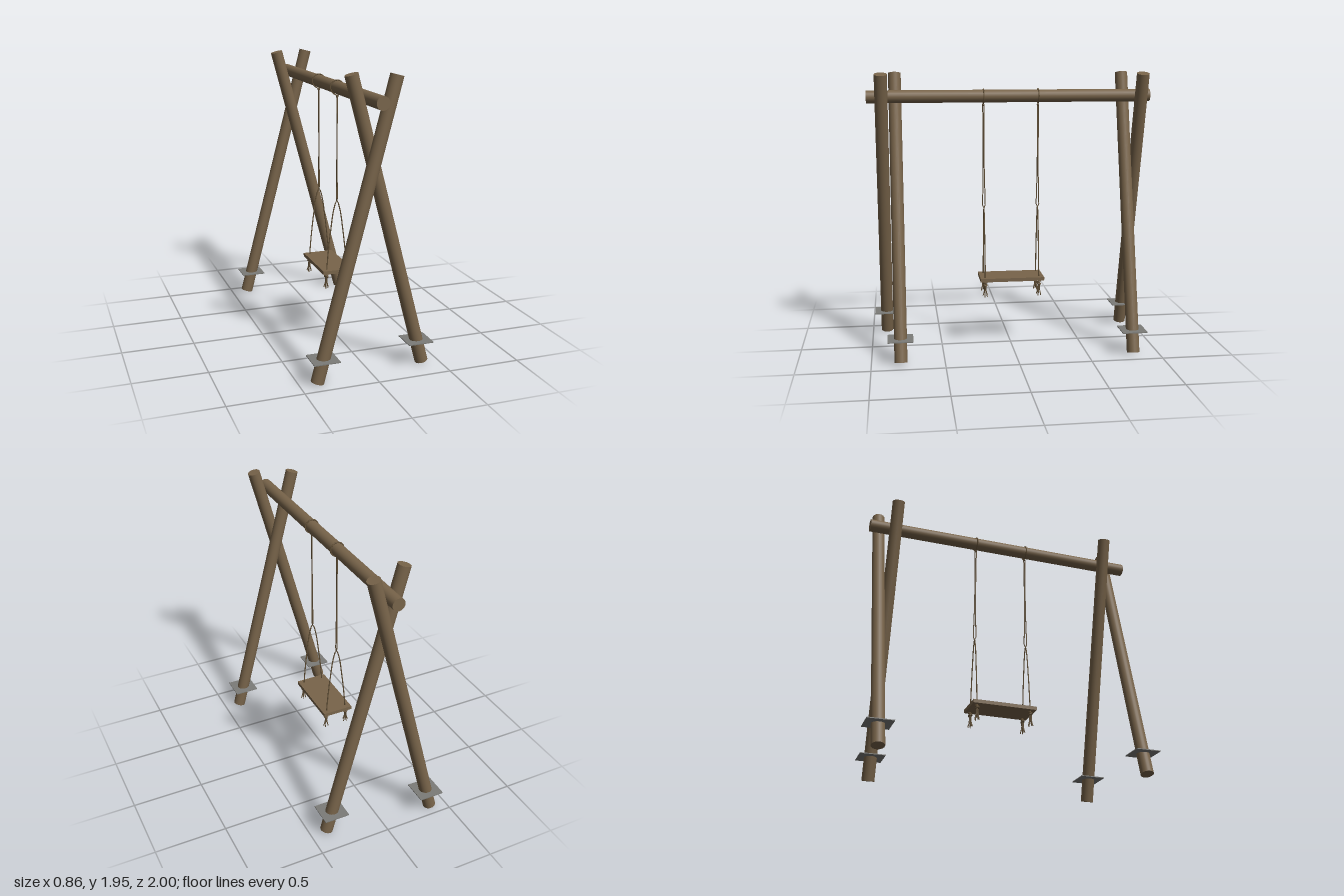
import * as THREE from 'three';

export function createModel() {
  const root = new THREE.Group();
  const wood = new THREE.MeshStandardMaterial({ name: 'wood', color: 0x78644a });
  const rope = new THREE.MeshStandardMaterial({ name: 'rope', color: 0x655339 });
  const metal = new THREE.MeshStandardMaterial({ name: 'metal', color: 0x7c7c78 });

  const add = (parent, name, geometry, material, x = 0, y = 0, z = 0) => {
    const mesh = new THREE.Mesh(geometry, material);
    mesh.name = name;
    mesh.position.set(x, y, z);
    parent.add(mesh);
    return mesh;
  };
  // Rope through a few points
  const cord = (parent, name, points, radius = 0.0045, segments = 20, closed = false) => {
    const curve = new THREE.CatmullRomCurve3(points.map(p => new THREE.Vector3(...p)), closed);
    return add(parent, name, new THREE.TubeGeometry(curve, segments, radius, 6, closed), rope);
  };

  // Crossed legs with anchor plates; side is the direction of the foot in x
  const foot = 0.383, footY = 0.011, headX = 0.13, headY = 1.942;
  const lean = Math.atan2(foot + headX, headY - footY);
  const length = Math.hypot(foot + headX, headY - footY);
  const plateY = 0.166;
  for (const [side, z] of [[-1, 0.894], [1, 0.8], [1, -0.82], [-1, -0.913]]) {
    const leg = add(root, 'leg', new THREE.CylinderGeometry(0.044, 0.044, length, 24), wood,
      side * (foot - headX) / 2, (footY + headY) / 2, z);
    leg.rotation.z = side * lean;
    add(root, 'anchorPlate', new THREE.BoxGeometry(0.175, 0.006, 0.175), metal, side * 0.343, plateY, z);
  }

  // Top beam
  const beamY = 1.786;
  const beam = add(root, 'beam', new THREE.CylinderGeometry(0.044, 0.044, 1.99, 24), wood, 0, beamY, 0.002);
  beam.rotation.x = Math.PI / 2;

  // Swing seat
  add(root, 'seat', new THREE.BoxGeometry(0.22, 0.025, 0.455), wood, 0, 0.491, -0.002);

  for (const z of [0.19, -0.195]) {
    const hanger = new THREE.Group();
    hanger.name = 'ropeHanger';
    hanger.position.z = z;
    root.add(hanger);

    // Loop round the beam, drawn together underneath
    const loop = [[0, 1.733, 0]];
    for (let i = 0; i <= 10; i++) {
      const a = -0.9 + i * (Math.PI + 1.8) / 10;
      loop.push([Math.cos(a) * 0.048, beamY + Math.sin(a) * 0.048, 0]);
    }
    cord(hanger, 'beamLoop', loop, 0.0045, 40, true);
    add(hanger, 'upperKnot', new THREE.SphereGeometry(0.009, 10, 8), rope, 0, 1.725, 0);

    // Doubled rope opening into an eye at the lower end
    for (const s of [-1, 1]) {
      cord(hanger, 'upperRope', [[0, 1.73, s * 0.005], [0, 1.4, s * 0.003], [0, 1.2, s * 0.005],
        [0, 1.04, s * 0.009], [0, 1.005, s * 0.008], [0, 0.995, 0]], 0.0038, 28);
    }

    // Bridle spreading to both edges of the seat
    cord(hanger, 'bridle', [[-0.076, 0.47, 0], [-0.066, 0.6, 0], [-0.046, 0.78, 0], [-0.022, 0.94, 0],
      [0, 1.0, 0], [0.022, 0.94, 0], [0.046, 0.78, 0], [0.066, 0.6, 0], [0.076, 0.47, 0]], 0.0042, 48);

    // Knots and frayed ends below the seat
    for (const s of [-1, 1]) {
      const x = s * 0.078;
      for (const [y, tilt] of [[0.466, 0.3], [0.452, -0.35]]) {
        const knot = add(hanger, 'knot', new THREE.TorusGeometry(0.011, 0.006, 6, 14), rope, x, y, 0);
        knot.rotation.set(Math.PI / 2 + tilt, tilt, 0);
      }
      cord(hanger, 'tail', [[x, 0.48, 0], [x, 0.41, 0]], 0.0065, 4);
      for (let i = 0; i < 5; i++) {
        const a = i * Math.PI * 2 / 5 + s * 0.4;
        const dx = Math.cos(a), dz = Math.sin(a);
        cord(hanger, 'frayedStrand', [[x + dx * 0.007, 0.445, dz * 0.007], [x + dx * 0.006, 0.415, dz * 0.006],
          [x + dx * 0.017, 0.366 + (i % 2) * 0.01, dz * 0.017]], 0.0035, 6);
      }
    }
  }
  return root;
}
